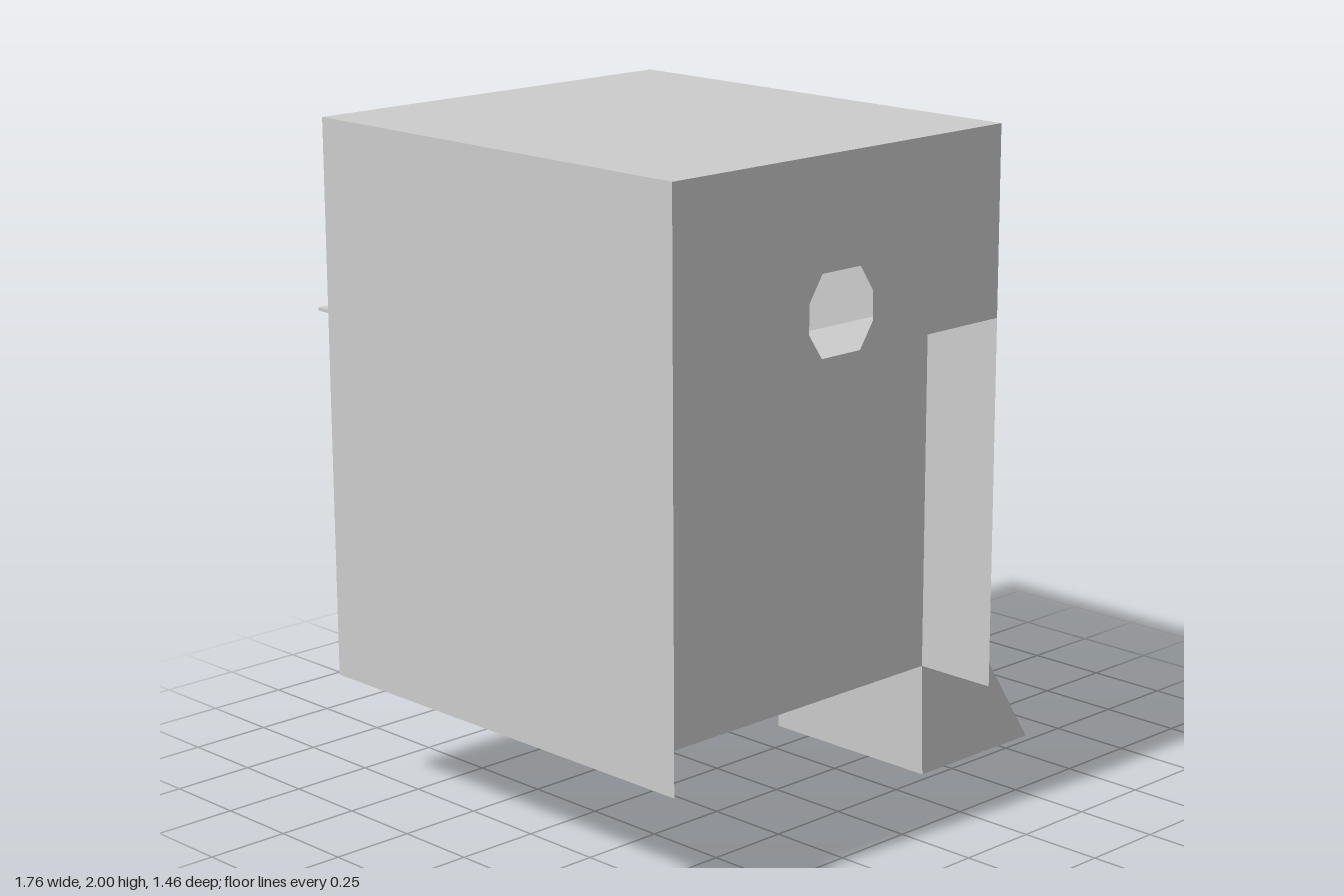
import * as THREE from 'three';

const mat = new THREE.MeshStandardMaterial({ color: 0xcccccc, side: THREE.DoubleSide, flatShading: true });
const L = -0.885, R = 0.39, BACK = -0.685, FRONT = 0.73, LOW = 0.345, TOP = 2, SHELF = 1.445;
const Z0 = -0.13, Z1 = 0.47; // chute sides

const vecs = (pts) => pts.map(([a, b]) => new THREE.Vector2(a, b));
const archY = (z) => 1.14 - 0.11 * ((z - 0.17) / 0.305) ** 2;

export function createModel() {
  const group = new THREE.Group();

  const add = (name, geometry) => {
    const mesh = new THREE.Mesh(geometry, mat);
    mesh.name = name;
    group.add(mesh);
    return mesh;
  };

  // flat sheet in the xy plane at depth z
  const sheetXY = (name, pts, z, hole) => {
    const shape = new THREE.Shape(vecs(pts));
    if (hole) shape.holes.push(new THREE.Path(vecs(hole)));
    return add(name, new THREE.ShapeGeometry(shape).translate(0, 0, z));
  };

  // flat sheet in the zy plane at side x
  const sheetZY = (name, pts, x) =>
    add(name, new THREE.ShapeGeometry(new THREE.Shape(vecs(pts))).rotateY(-Math.PI / 2).translate(x, 0, 0));

  // flat polygon through 3D corners
  const poly = (name, corners) => {
    const g = new THREE.BufferGeometry();
    g.setAttribute('position', new THREE.Float32BufferAttribute(corners.flat(), 3));
    g.setIndex(corners.length === 4 ? [0, 1, 2, 0, 2, 3] : [0, 1, 2]);
    g.computeVertexNormals();
    return add(name, g);
  };

  const rect = (a0, a1, b0, b1) => [[a0, b0], [a1, b0], [a1, b1], [a0, b1]];

  // cabinet shell
  sheetZY('sideWall', rect(BACK, FRONT, LOW, TOP), L);
  const arch = [];
  for (let i = 0; i <= 8; i++) {
    const z = Z1 + (Z0 - Z1) * i / 8;
    arch.push([z, archY(z)]);
  }
  sheetZY('chuteSideWall', [
    [BACK, LOW], [BACK, TOP], [FRONT, TOP], [FRONT, LOW], [Z1, LOW], ...arch, [Z0, LOW],
  ], R);
  sheetXY('backWall', rect(L, R, LOW, TOP), BACK);
  poly('roof', [[L, TOP, FRONT], [R, TOP, FRONT], [R, TOP, BACK], [L, TOP, BACK]]);

  // upper front panel with eight-sided opening
  sheetXY('frontPanel', rect(L, R, SHELF, TOP), FRONT, [
    [-0.33, 1.447], [-0.18, 1.447], [-0.13, 1.52], [-0.13, 1.605],
    [-0.18, 1.68], [-0.33, 1.68], [-0.38, 1.605], [-0.38, 1.52],
  ]);

  // stepped inner hopper, running the full width
  const steps = [[-0.41, SHELF], [-0.41, 1.1], [Z0, 1.1], [Z0, LOW], [Z1, LOW], [Z1, SHELF], [FRONT, SHELF]];
  for (let i = 0; i < steps.length - 1; i++) {
    const [za, ya] = steps[i], [zb, yb] = steps[i + 1];
    poly('hopperPanel', [[L, ya, za], [L, yb, zb], [R, yb, zb], [R, ya, za]]);
  }
  add('backShelf', new THREE.BoxGeometry(R - L, 0.01, 0.32)).position.set((L + R) / 2, SHELF - 0.005, -0.57);

  // ramp inside, falling to the chute
  poly('ramp', [[L, 1.1, Z1], [R, LOW, Z1], [R, LOW, Z0], [L, 1.1, Z0]]);

  // small tabs under the front panel
  for (const x of [-0.585, 0.0625]) {
    add('tab', new THREE.BoxGeometry(0.172, 0.045, 0.01)).position.set(x, SHELF - 0.0225, Z1 + 0.005);
  }

  // tray
  poly('trayFloor', [[0.4, 0, Z1], [0.88, 0, Z1], [0.88, 0, Z0], [0.4, 0, Z0]]);
  poly('trayBack', [[0.4, 0, Z1], [0.4, 0, Z0], [R, LOW, Z0], [R, LOW, Z1]]);
  for (const [z, splay] of [[Z0, -0.012], [Z1, 0.012]]) {
    sheetXY('traySide', [[0.4, 0], [0.88, 0], [0.655, LOW], [R, LOW]], z);
    poly('chuteCheek', [[R, LOW, z + splay], [0.655, LOW, z], [R, archY(z), z]]);
  }

  // sloping bars over the chute opening
  for (const [z0, z1] of [[-0.135, -0.07], [0, 0.075], [0.235, 0.305], [0.39, 0.47]]) {
    const y = archY((z0 + z1) / 2);
    const shape = new THREE.Shape(vecs([[R, y], [0.655, LOW], [0.615, LOW], [R, y - 0.12]]));
    add('bar', new THREE.ExtrudeGeometry(shape, { depth: z1 - z0, bevelEnabled: false }).translate(0, 0, z0));
  }

  return group;
}
